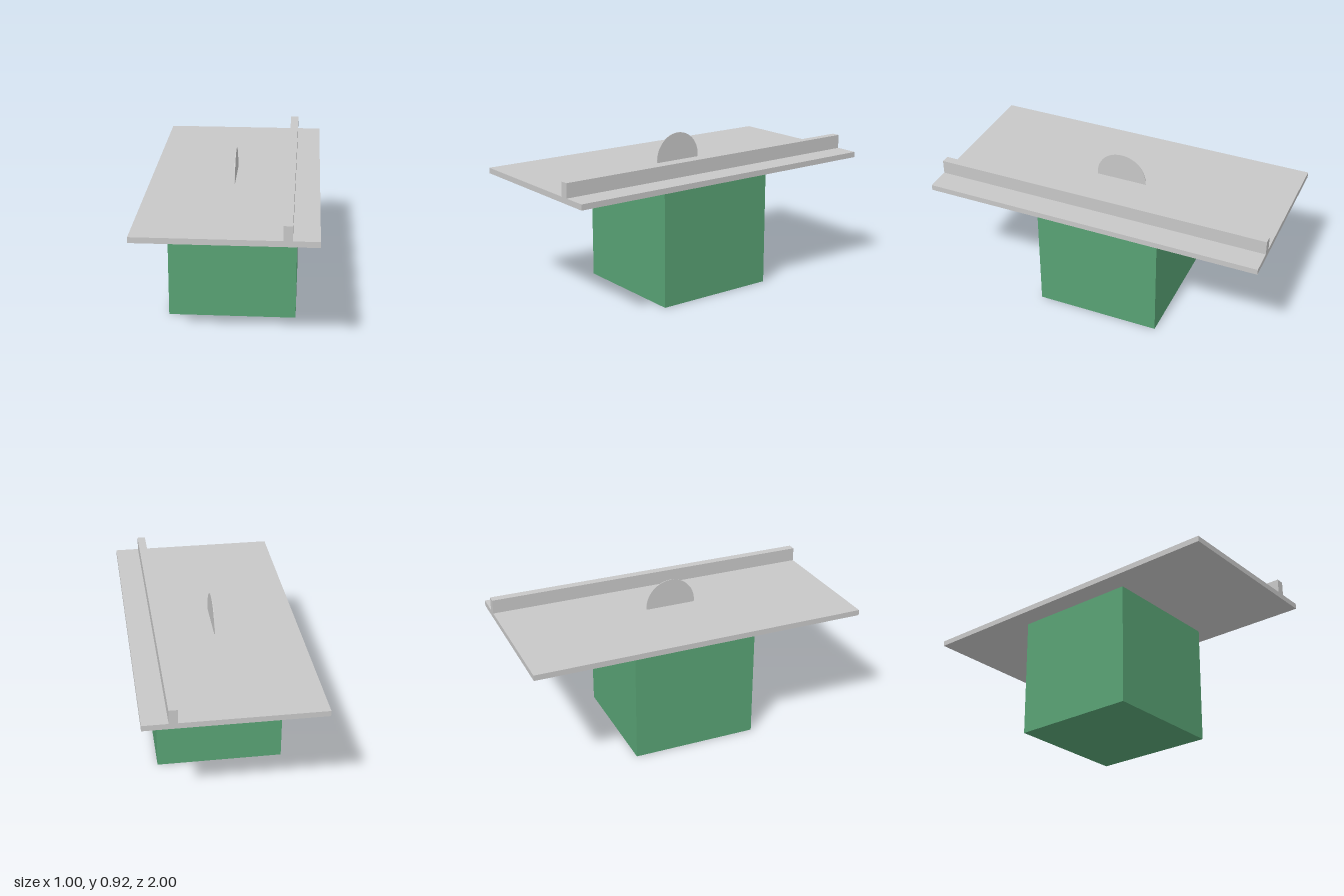
import * as THREE from 'three';

export function createModel() {
  const model = new THREE.Group();
  model.name = 'tableSaw';

  const green = new THREE.MeshStandardMaterial({ color: 0x58a274 });
  green.name = 'cabinet green';
  const grey = new THREE.MeshStandardMaterial({ color: 0xc7c7c7 });
  grey.name = 'metal grey';

  const add = (name, geometry, material, x, y, z) => {
    const mesh = new THREE.Mesh(geometry, material);
    mesh.name = name;
    mesh.position.set(x, y, z);
    model.add(mesh);
  };

  const cabinetTop = 0.717, tableTop = 0.75, fenceTop = 0.833;
  const box = (w, y0, y1, d) => new THREE.BoxGeometry(w, y1 - y0, d);

  // Cabinet, table and rip fence
  add('cabinet', box(0.75, 0, cabinetTop, 0.75), green, 0, cabinetTop / 2, 0);
  add('table', box(1, cabinetTop, tableTop, 2), grey, 0, (cabinetTop + tableTop) / 2, 0);
  add('fence', box(0.049, tableTop, fenceTop, 2), grey, 0.332, (tableTop + fenceTop) / 2, 0);

  // Thin round blade, partly sunk into the table
  const radius = 0.153;
  const disc = new THREE.CylinderGeometry(radius, radius, 0.004, 48).rotateZ(Math.PI / 2);
  add('blade', disc, grey, 0, 0.917 - radius, 0);

  return model;
}
